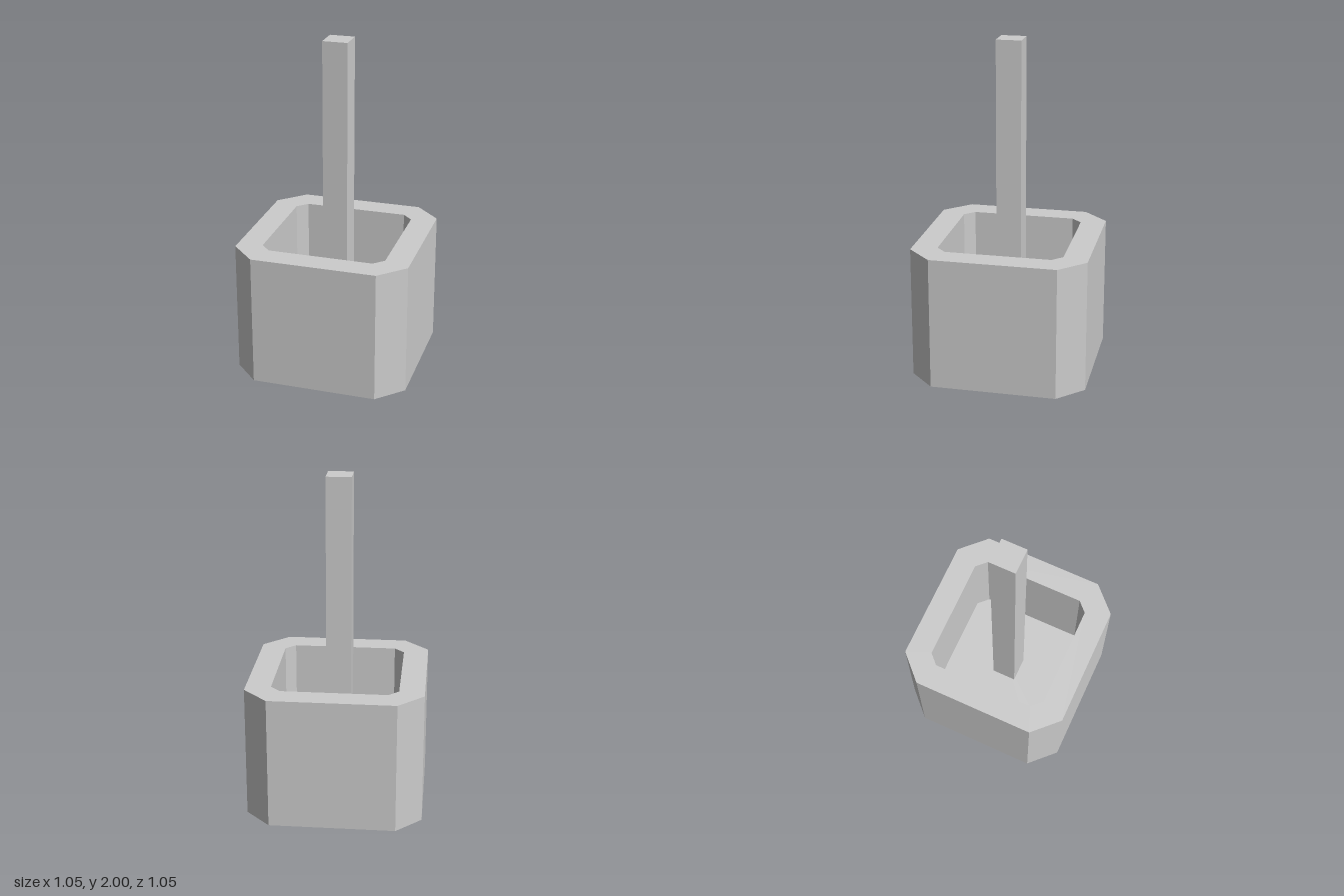
import * as THREE from 'three';

// Square outline with cut corners, at height y
function ring(half, cut, y) {
  const k = half - cut;
  return [[half, -k], [half, k], [k, half], [-k, half], [-half, k], [-half, -k], [-k, -half], [k, -half]]
    .map(([x, z]) => new THREE.Vector3(x, y, z));
}

// Flat-shaded skin through successive rings, closed by a fan at both ends
function skin(rings) {
  const points = [];
  const n = rings[0].length;
  const first = rings[0];
  const last = rings[rings.length - 1];
  const bottom = new THREE.Vector3(0, first[0].y, 0);
  const top = new THREE.Vector3(0, last[0].y, 0);
  for (let i = 0; i < n; i++) {
    const j = (i + 1) % n;
    points.push(bottom, first[i], first[j]);
    for (let r = 0; r + 1 < rings.length; r++) {
      const a = rings[r];
      const b = rings[r + 1];
      points.push(a[i], b[i], a[j], a[j], b[i], b[j]);
    }
    points.push(last[i], top, last[j]);
  }
  const geometry = new THREE.BufferGeometry().setFromPoints(points);
  geometry.computeVertexNormals();
  return geometry;
}

export function createModel() {
  const group = new THREE.Group();
  group.name = 'mortarAndPestle';
  const stone = new THREE.MeshStandardMaterial({ color: 0xcccccc });
  stone.name = 'grey stone';

  const floorY = 0.15;
  const rimY = 0.8;
  const topY = 2;

  // Hollow bowl: outer wall, rim, inner wall and floor
  const bowl = new THREE.Mesh(skin([
    ring(0.525, 0.15, 0),
    ring(0.525, 0.15, rimY),
    ring(0.375, 0.06, rimY),
    ring(0.375, 0.06, floorY),
  ]), stone);
  bowl.name = 'bowl';
  group.add(bowl);

  // Square pestle standing on the bowl floor
  const pestle = new THREE.Mesh(new THREE.BoxGeometry(0.15, topY - floorY, 0.15), stone);
  pestle.name = 'pestle';
  pestle.position.y = (topY + floorY) / 2;
  group.add(pestle);

  return group;
}
